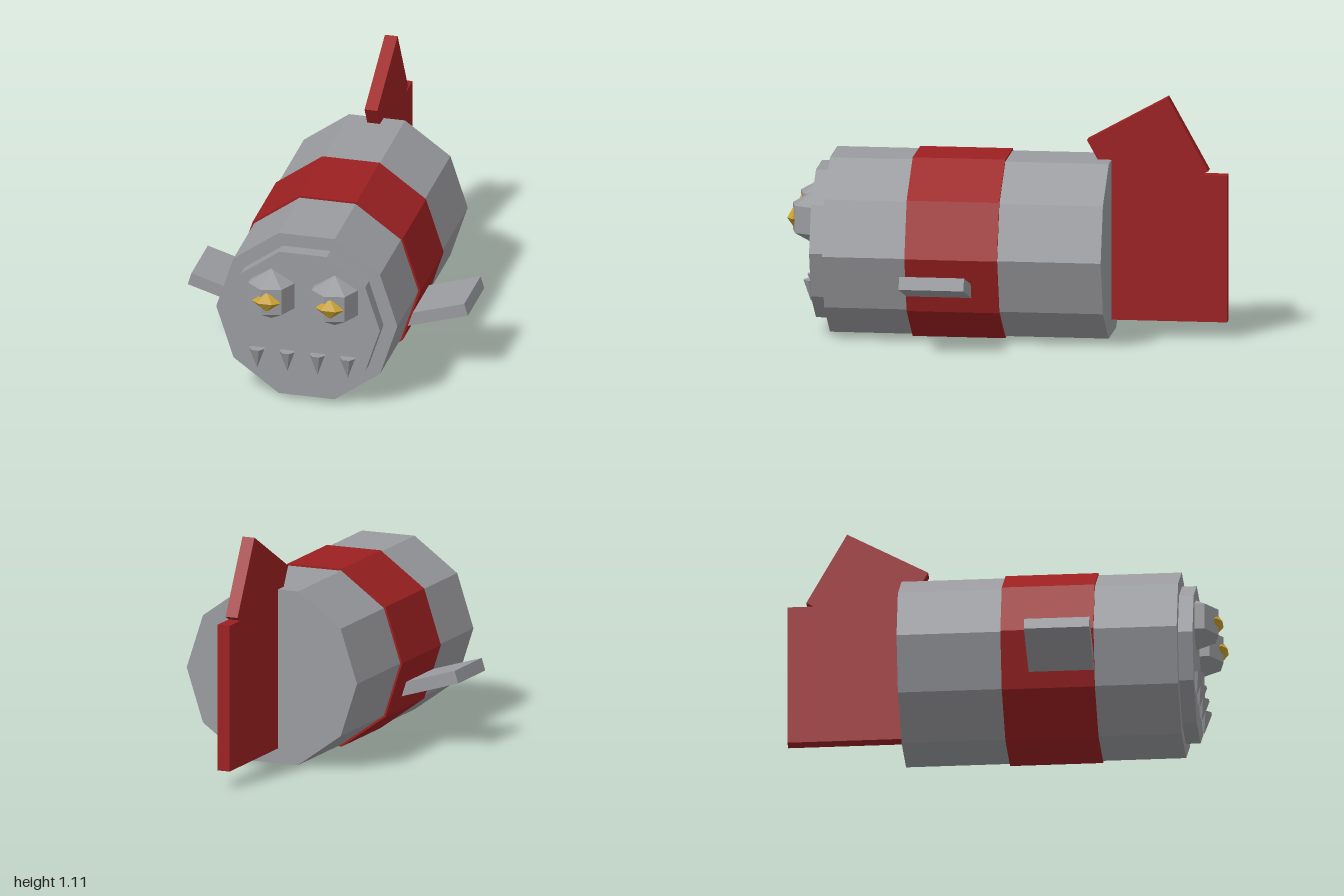
import * as THREE from 'three';

const paint = (name, color) => {
  const m = new THREE.MeshStandardMaterial({ color, flatShading: true });
  m.name = name;
  return m;
};

export function createModel() {
  const grey = paint('hull grey', 0x9a9b9f);
  const red = paint('fin red', 0x9c2021);
  const gold = paint('pupil gold', 0xc89f30);
  const model = new THREE.Group();
  model.name = 'fishShip';
  const midY = 0.417;

  const add = (name, geometry, material, x, y, z) => {
    const mesh = new THREE.Mesh(geometry, material);
    mesh.name = name;
    mesh.position.set(x, y, z);
    model.add(mesh);
    return mesh;
  };

  // Ten-sided drum lying along z, flat on top and bottom
  const drum = (name, radius, back, front, material) => {
    const g = new THREE.CylinderGeometry(radius, radius, front - back, 10, 1, false, Math.PI / 2);
    g.rotateX(Math.PI / 2);
    return add(name, g, material, 0, midY, (front + back) / 2);
  };
  drum('body', 0.426, -0.47, 0.81, grey);
  drum('bodyBand', 0.436, 0.005, 0.43, red);
  drum('facePlate', 0.361, 0.78, 0.877, grey);

  // Eyes with squashed faceted pupils
  for (const x of [-0.149, 0.149]) {
    const eye = add('eye', new THREE.SphereGeometry(0.126, 7, 3), grey, x, 0.546, 0.875);
    eye.rotation.y = Math.PI;
    const pupil = add('pupil', new THREE.SphereGeometry(1, 6, 2), gold, x, 0.547, 0.972);
    pupil.scale.set(0.068, 0.052, 0.032);
  }

  // Row of fangs
  for (let i = 0; i < 4; i++) {
    const fang = add('fang', new THREE.ConeGeometry(0.037, 0.103, 7), grey, -0.214 + i * 0.142, 0.217, 0.886);
    fang.rotation.x = Math.PI;
  }

  // Side fins, tips raised
  for (const side of [-1, 1]) {
    const fin = add('sideFin', new THREE.BoxGeometry(0.4, 0.06, 0.298), grey, side * 0.459, 0.29, 0.279);
    fin.rotation.z = side * 0.295;
  }

  // Tail fin: upright plate and tilted top plate
  add('tailFin', new THREE.BoxGeometry(0.06, 0.68, 0.55), red, 0, 0.42, -0.725);
  const top = add('tailFinTop', new THREE.BoxGeometry(0.06, 0.385, 0.423), red, 0, 0.845, -0.635);
  top.rotation.x = 0.506;

  return model;
}
